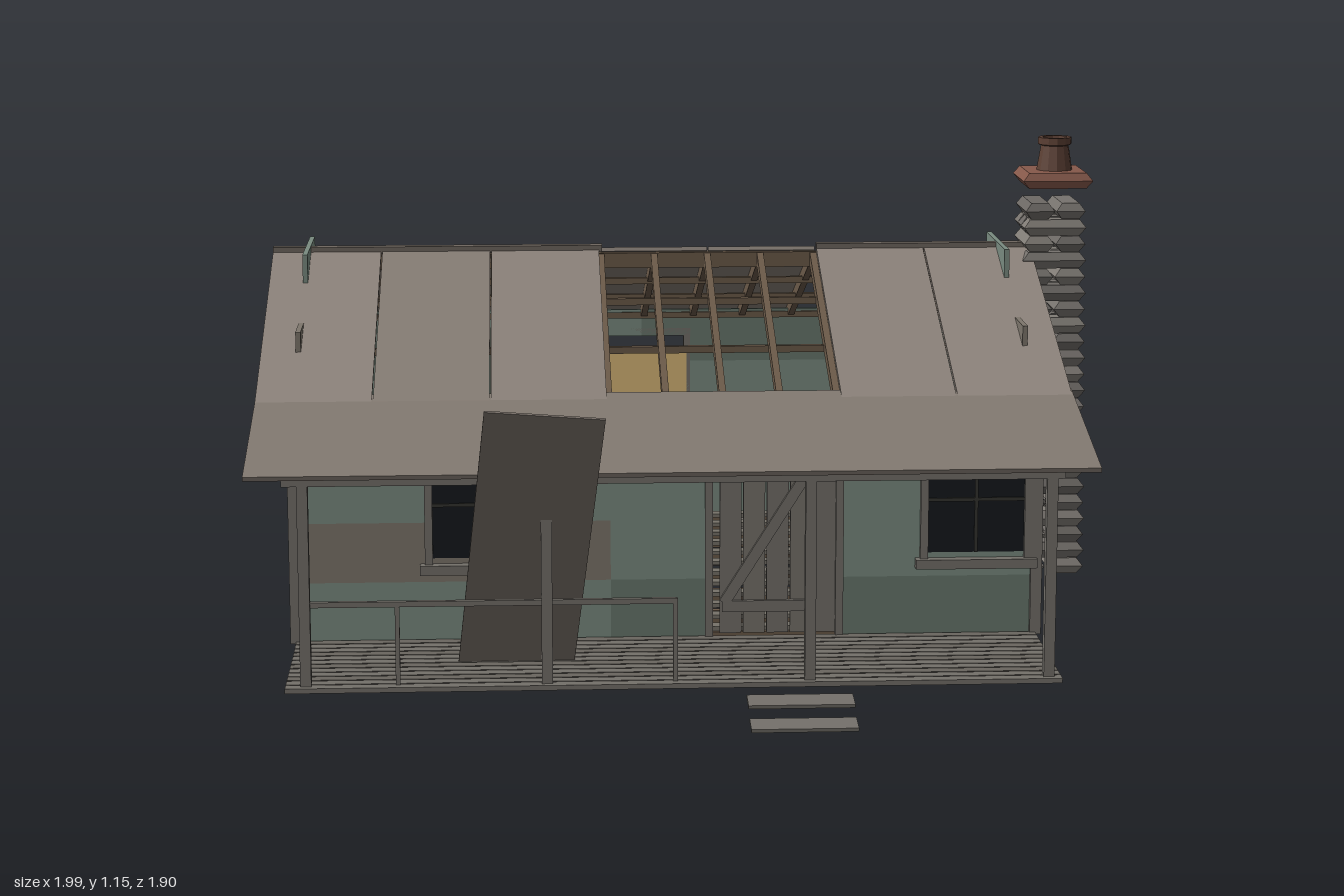
import * as THREE from 'three';

const mats = {};
const mat = (c) => (mats[c] ??= new THREE.MeshStandardMaterial({ color: c, flatShading: true }));
const GREEN = 0x7a8c81, DARK = 0x68786d, BROWN = 0x7d766c;
const ROOF = [0x8d837b, 0x857c74, 0x8a8179], WOOD = 0x74706a, BEAM = 0x6b5a49;
const X0 = -0.92, X1 = 0.78, ZF = 0.42, ZB = -0.87, ZR = -0.225, RIDGE = 0.885, SLOPE = 0.37;
const roofY = (z) => RIDGE - SLOPE * Math.abs(z - ZR);

function add(parent, name, geo, color, x = 0, y = 0, z = 0) {
  const m = new THREE.Mesh(geo, mat(color));
  m.name = name;
  m.position.set(x, y, z);
  parent.add(m);
  return m;
}

// Box given by its minimum and maximum on each axis
function block(parent, name, color, x0, x1, y0, y1, z0, z1) {
  return add(parent, name, new THREE.BoxGeometry(x1 - x0, y1 - y0, z1 - z0), color,
    (x0 + x1) / 2, (y0 + y1) / 2, (z0 + z1) / 2);
}

// Sloping slab or bar running from (za, ya) to (zb, yb), with za < zb
function slope(parent, name, color, x0, x1, za, ya, zb, yb, t) {
  const m = add(parent, name, new THREE.BoxGeometry(x1 - x0, t, Math.hypot(zb - za, yb - ya)), color,
    (x0 + x1) / 2, (ya + yb) / 2, (za + zb) / 2);
  m.rotation.x = -Math.atan2(yb - ya, zb - za);
  return m;
}

function group(parent, name) {
  const g = new THREE.Group();
  g.name = name;
  parent.add(g);
  return g;
}

// Framed window centred on u, outside facing local +z
function makeWindow(wall, u, w) {
  const g = group(wall, 'window'), h = w / 2;
  block(g, 'glass', 0x14181c, u - h, u + h, 0.27, 0.515, -0.004, 0.002);
  block(g, 'blind', 0xd9b878, u - h, u + h, 0.27, 0.515, -0.012, -0.005);
  for (const s of [-1, 1]) block(g, 'jamb', WOOD, u + s * h - 0.009, u + s * h + 0.009, 0.25, 0.565, -0.012, 0.013);
  block(g, 'head', WOOD, u - h - 0.01, u + h + 0.01, 0.56, 0.58, -0.012, 0.013);
  block(g, 'sill', WOOD, u - h - 0.02, u + h + 0.02, 0.235, 0.257, -0.012, 0.026);
  block(g, 'mullion', 0x33332f, u - 0.004, u + 0.004, 0.27, 0.515, 0, 0.006);
  block(g, 'crossbar', 0x33332f, u - h, u + h, 0.39, 0.398, 0, 0.006);
}

// Wall of coloured board bands; holes are [u0, u1, y0, y1]
function makeWall(root, name, u0, u1, split, bandsA, bandsB, holes) {
  const g = group(root, name);
  const us = [...new Set([u0, split, u1, ...holes.flatMap((h) => [h[0], h[1]])])].sort((a, b) => a - b);
  for (let i = 0; i < 4; i++) {
    const yb = 0.075 + i * 0.139, yt = yb + 0.139;
    const ys = [yb, yt, ...holes.flatMap((h) => [h[2], h[3]]).filter((y) => y > yb && y < yt)];
    const rows = [...new Set(ys)].sort((a, b) => a - b);
    for (let j = 0; j < rows.length - 1; j++) for (let k = 0; k < us.length - 1; k++) {
      const u = (us[k] + us[k + 1]) / 2, y = (rows[j] + rows[j + 1]) / 2;
      if (holes.some((h) => u > h[0] && u < h[1] && y > h[2] && y < h[3])) continue;
      block(g, 'wallBoard', (u < split ? bandsA : bandsB)[i], us[k], us[k + 1], rows[j], rows[j + 1], -0.012, 0);
    }
  }
  return g;
}

// Box whose waist is wider than its top and bottom
function stoneGeometry(w, h, d) {
  const geo = new THREE.BoxGeometry(1, 1, 1, 2, 2, 2), p = geo.attributes.position;
  for (let i = 0; i < p.count; i++) {
    const top = Math.abs(p.getY(i)) > 0.4;
    const cut = (v, size) => v * (top ? Math.max(0.4, size - 0.03) : size);
    p.setXYZ(i, top ? p.getX(i) * (w - Math.min(0.03, w * 0.4)) : cut(p.getX(i), w), p.getY(i) * h,
      top ? p.getZ(i) * (d - Math.min(0.014, d * 0.3)) : p.getZ(i) * d);
  }
  geo.computeVertexNormals();
  return geo;
}

function makeWalls(root) {
  const a = [GREEN, DARK, GREEN, BROWN], b = [GREEN, GREEN, BROWN, BROWN];
  const c = [GREEN, BROWN, GREEN, GREEN], d = [DARK, GREEN, GREEN, GREEN];
  const hole = (u, w) => [u - w / 2, u + w / 2, 0.27, 0.56];

  const front = makeWall(root, 'frontWall', X0, X1, -0.2, c, d, [hole(-0.495, 0.24), hole(0.64, 0.24), [0.03, 0.32, 0.075, 0.53]]);
  front.position.z = ZF;
  makeWindow(front, -0.495, 0.24);
  makeWindow(front, 0.64, 0.24);

  const back = makeWall(root, 'backWall', -X1, -X0, 0.08, [GREEN, BROWN, GREEN, DARK], c, [hole(0.08, 0.24)]);
  back.position.z = ZB;
  back.rotation.y = Math.PI;
  makeWindow(back, 0.08, 0.24);

  const left = makeWall(root, 'leftWall', ZB, ZF, ZR, c, [DARK, BROWN, DARK, GREEN], [hole(-0.25, 0.22)]);
  left.position.x = X0;
  left.rotation.y = -Math.PI / 2;
  makeWindow(left, -0.25, 0.22);

  const right = makeWall(root, 'rightWall', -ZF, -ZB, -ZR, a, b, []);
  right.position.x = X1;
  right.rotation.y = Math.PI / 2;

  // Stepped gable boards that poke through the roof
  for (const [wall, u] of [[left, ZR], [right, -ZR]]) {
    block(wall, 'gableBoard', BROWN, u - 0.465, u + 0.465, 0.631, 0.765, -0.012, 0);
    block(wall, 'gableBoard', GREEN, u - 0.157, u + 0.157, 0.765, 0.9, -0.012, 0);
  }
  // Corner trim
  for (const x of [X0, X1]) for (const z of [ZF, ZB])
    block(root, 'cornerTrim', WOOD, x - 0.013, x + 0.013, 0.075, 0.61, z - 0.013, z + 0.013);

  // Plank door with brace
  const door = group(root, 'door');
  for (let i = 0; i < 5; i++)
    block(door, 'doorPlank', i % 2 ? 0x77736c : WOOD, 0.05 + i * 0.054, 0.1 + i * 0.054, 0.085, 0.52, 0.41, 0.422);
  for (const y of [0.15, 0.455]) block(door, 'batten', WOOD, 0.055, 0.25, y - 0.013, y + 0.013, 0.422, 0.432);
  add(door, 'brace', new THREE.BoxGeometry(0.025, 0.34, 0.01), WOOD, 0.15, 0.303, 0.43).rotation.z = -0.56;
  for (const x of [0.025, 0.325]) block(door, 'doorJamb', WOOD, x - 0.009, x + 0.009, 0.08, 0.54, 0.405, 0.433);
  block(door, 'doorHead', WOOD, 0.016, 0.334, 0.525, 0.545, 0.405, 0.433);
}

function makeBase(root) {
  const base = group(root, 'base');
  for (const x of [-0.835, -0.325, 0.185, 0.69]) for (const z of [0.325, -0.225, -0.775])
    add(base, 'footingStone', new THREE.CylinderGeometry(0.045, 0.032, 0.062, 7), 0x77736d, x, 0.043, z);
  for (let i = 0; i < 7; i++) {
    const z = 0.365 - i * 0.1975;
    block(base, 'joist', BEAM, -0.91, 0.775, 0.04, 0.075, z - 0.01, z + 0.01);
  }
  for (let i = 0; i < 12; i++) {
    const z = -0.82 + i * 0.1064;
    block(base, 'floorBoard', 0x77736a, -0.905, 0.765, 0.076, 0.086, z - 0.018, z + 0.018);
  }
}

function makePorch(root) {
  const porch = group(root, 'porch');
  for (let i = 0; i < 12; i++) {
    const z = 0.44 + i * 0.0338;
    block(porch, 'deckBoard', i % 3 ? WOOD : 0x6a665f, X0, X1, 0.069, 0.08, z - 0.0145, z + 0.0145);
  }
  for (const x of [-0.875, -0.35, 0.225, 0.752]) block(porch, 'post', WOOD, x - 0.012, x + 0.012, 0.075, 0.545, 0.788, 0.812);
  block(porch, 'postBeam', WOOD, X0, X1, 0.525, 0.547, 0.788, 0.812);
  block(porch, 'handrail', WOOD, -0.875, -0.07, 0.255, 0.267, 0.795, 0.807);
  for (const x of [-0.675, -0.07]) block(porch, 'railPost', WOOD, x - 0.005, x + 0.005, 0.08, 0.267, 0.796, 0.806);
  slope(porch, 'porchRoof', 0x827970, -1, 0.855, 0.41, 0.645, 0.83, 0.547, 0.01);

  // Fallen entry steps
  slope(porch, 'step', WOOD, 0.085, 0.318, 0.82, 0.047, 0.882, 0.04, 0.008);
  slope(porch, 'step', WOOD, 0.087, 0.32, 0.885, 0.012, 0.945, 0.005, 0.008);

  // Loose roof panel leaning on the porch edge
  const up = new THREE.Vector3(0.07, 0.67, 0.35).normalize();
  const across = new THREE.Vector3(0.26, -0.025, -0.013).normalize();
  const normal = new THREE.Vector3().crossVectors(across, up).normalize();
  across.crossVectors(up, normal);
  const panel = add(porch, 'loosePanel', new THREE.BoxGeometry(0.258, 0.76, 0.006), 0x7a716a, -0.387, 0.367, 0.767);
  panel.quaternion.setFromRotationMatrix(new THREE.Matrix4().makeBasis(across, up, normal));
}

function makeRoof(root) {
  const roof = group(root, 'roof');
  const zf = 0.48, zb = -0.94;
  // Sheets, with gaps where some are missing
  for (let i = 0; i < 7; i++) {
    const x0 = -1 + i * 0.265, x1 = x0 + 0.262;
    if (i !== 3 && i !== 4) slope(roof, 'frontSheet', ROOF[i % 3], x0, x1, ZR, RIDGE, zf, roofY(zf), 0.01);
    if (i !== 5) slope(roof, 'backSheet', ROOF[(i + 1) % 3], x0, x1, zb, roofY(zb), ZR, RIDGE, 0.01);
  }
  // Rafters and purlins
  for (let i = 0; i < 15; i++) {
    const x = -0.983 + i * 0.13;
    slope(roof, 'rafter', BEAM, x - 0.008, x + 0.008, ZR, RIDGE - 0.022, zf, roofY(zf) - 0.022, 0.03);
    slope(roof, 'rafter', BEAM, x - 0.008, x + 0.008, zb, roofY(zb) - 0.022, ZR, RIDGE - 0.022, 0.03);
  }
  for (const z of [-0.86, -0.63, -0.43, -0.045, 0.17, 0.39])
    block(roof, 'purlin', BEAM, -0.99, 0.845, roofY(z) - 0.042, roofY(z) - 0.026, z - 0.008, z + 0.008);
  block(roof, 'ridgeBeam', BEAM, -0.99, 0.845, RIDGE - 0.045, RIDGE - 0.008, ZR - 0.01, ZR + 0.01);
  for (const [a, b] of [[-1, -0.2], [0.325, 0.855]])
    block(roof, 'ridgeCap', 0x6f675f, a, b, RIDGE - 0.005, RIDGE + 0.012, ZR - 0.014, ZR + 0.014);
}

function makeChimney(root) {
  const chimney = group(root, 'chimney');
  const colors = [0x77736e, 0x6d6965, 0x817c76];
  // Courses alternate between stones laid across and stones laid along
  for (let i = 0; i < 23; i++) {
    const t = i / 22, y = 0.097 + i * 0.0402;
    const w = 0.19 - 0.04 * t, d = 0.19 - 0.025 * t, x = 0.893 + 0.01 * t;
    if (i % 2) {
      for (const k of [-1, 0, 1]) add(chimney, 'stone', stoneGeometry(w, 0.039, d / 3), colors[(i + k + 1) % 3], x, y, ZR + k * d / 3);
    } else {
      for (const k of [-1, 1]) add(chimney, 'stone', stoneGeometry(w / 2 - 0.004, 0.039, d), colors[(i + k + 1) % 3], x + k * w / 4, y, ZR);
    }
  }
  add(chimney, 'cap', stoneGeometry(0.17, 0.038, 0.175), 0x86594b, 0.907, 1.056, ZR);
  // Open clay pot
  const pot = [[0.032, 1.07], [0.045, 1.07], [0.034, 1.135], [0.041, 1.138], [0.041, 1.155], [0.03, 1.155], [0.026, 1.09], [0, 1.09]];
  add(chimney, 'pot', new THREE.LatheGeometry(pot.map(([r, y]) => new THREE.Vector2(r, y)), 12), 0x5c4034, 0.91, 0, ZR)
    .material.side = THREE.DoubleSide;
}

export function createModel() {
  const root = new THREE.Group();
  root.name = 'cabin';
  for (const make of [makeBase, makeWalls, makePorch, makeRoof, makeChimney]) make(root);
  return root;
}
